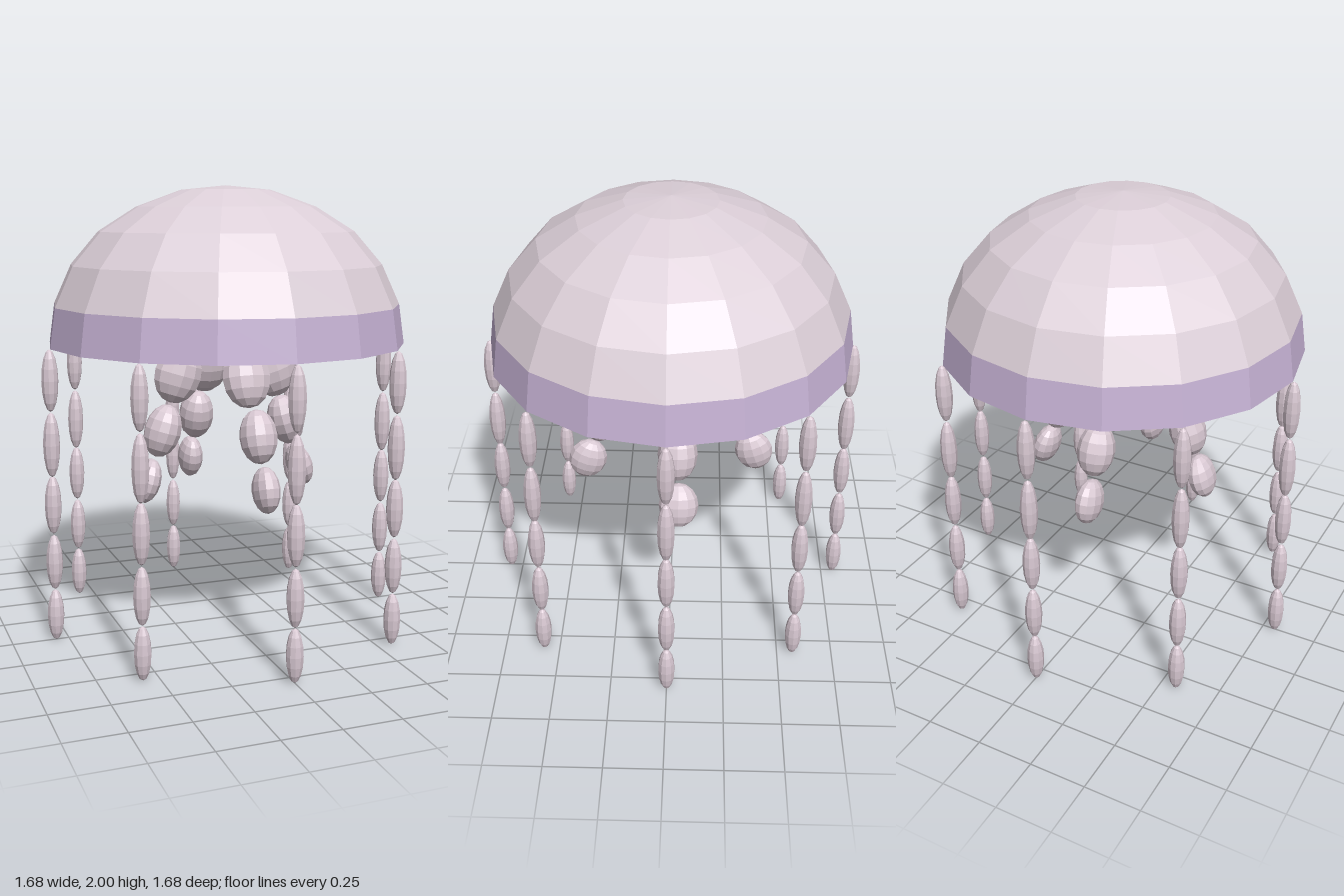
import * as THREE from 'three';

export function createModel() {
  const model = new THREE.Group();
  const mat = (name, color) => new THREE.MeshStandardMaterial({ name, color, flatShading: true });
  const bellMat = mat('pale mauve', 0xdccfd8);
  const rimMat = mat('lilac', 0xc6b2d4);
  const beadMat = mat('pinkish grey', 0xd8c8d2);

  const add = (parent, name, geometry, material) => {
    const mesh = new THREE.Mesh(geometry, material);
    mesh.name = name;
    parent.add(mesh);
    return mesh;
  };
  const lathe = (pts) => new THREE.LatheGeometry(pts.map(([r, y]) => new THREE.Vector2(r, y)), 16);

  // Faceted bell, its lilac rim band and the flat underside
  const rimY = 1.305;
  add(model, 'bell', lathe([[0.775, 1.48], [0.695, 1.655], [0.57, 1.8], [0.4, 1.907], [0.2, 1.98], [0, 2]]), bellMat);
  add(model, 'rim', lathe([[0.8, rimY], [0.775, 1.48]]), rimMat);
  const underside = add(model, 'underside', new THREE.CircleGeometry(0.8, 16), rimMat);
  underside.rotation.x = Math.PI / 2;
  underside.position.y = rimY;

  // Eight straight tentacles of slim beads that shorten downwards
  const slimBead = new THREE.SphereGeometry(1, 10, 8);
  const tentacleBeads = [[1.17, 0.136], [0.888, 0.143], [0.62, 0.13], [0.361, 0.124], [0.119, 0.116]];
  for (let i = 0; i < 8; i++) {
    const tentacle = new THREE.Group();
    tentacle.name = 'tentacle';
    const a = (i * Math.PI) / 4;
    tentacle.position.set(0.805 * Math.sin(a), 0, 0.805 * Math.cos(a));
    for (const [y, h] of tentacleBeads) {
      const bead = add(tentacle, 'tentacleBead', slimBead, beadMat);
      bead.position.y = y;
      bead.scale.set(0.037, h, 0.037);
    }
    model.add(tentacle);
  }

  // Four inner arms of fat beads, splayed outwards with a slight swirl
  const fatBead = new THREE.SphereGeometry(1, 12, 8);
  const armBeads = [
    { r: 0.23, y: 1.172, swirl: 0.012, size: [0.11, 0.133, 0.08] },
    { r: 0.312, y: 0.925, swirl: 0.036, size: [0.083, 0.12, 0.088] },
    { r: 0.388, y: 0.704, swirl: 0.042, size: [0.058, 0.102, 0.088] },
  ];
  for (const [dx, dz] of [[1, 0], [0, 1], [-1, 0], [0, -1]]) {
    const arm = new THREE.Group();
    arm.name = 'innerArm';
    for (const { r, y, swirl, size } of armBeads) {
      const bead = add(arm, 'armBead', fatBead, beadMat);
      bead.position.set(dx * r + dz * swirl, y, dz * r - dx * swirl);
      bead.rotation.set(-0.3 * dz, 0, 0.3 * dx);
      bead.scale.set(...size);
    }
    model.add(arm);
  }
  return model;
}
